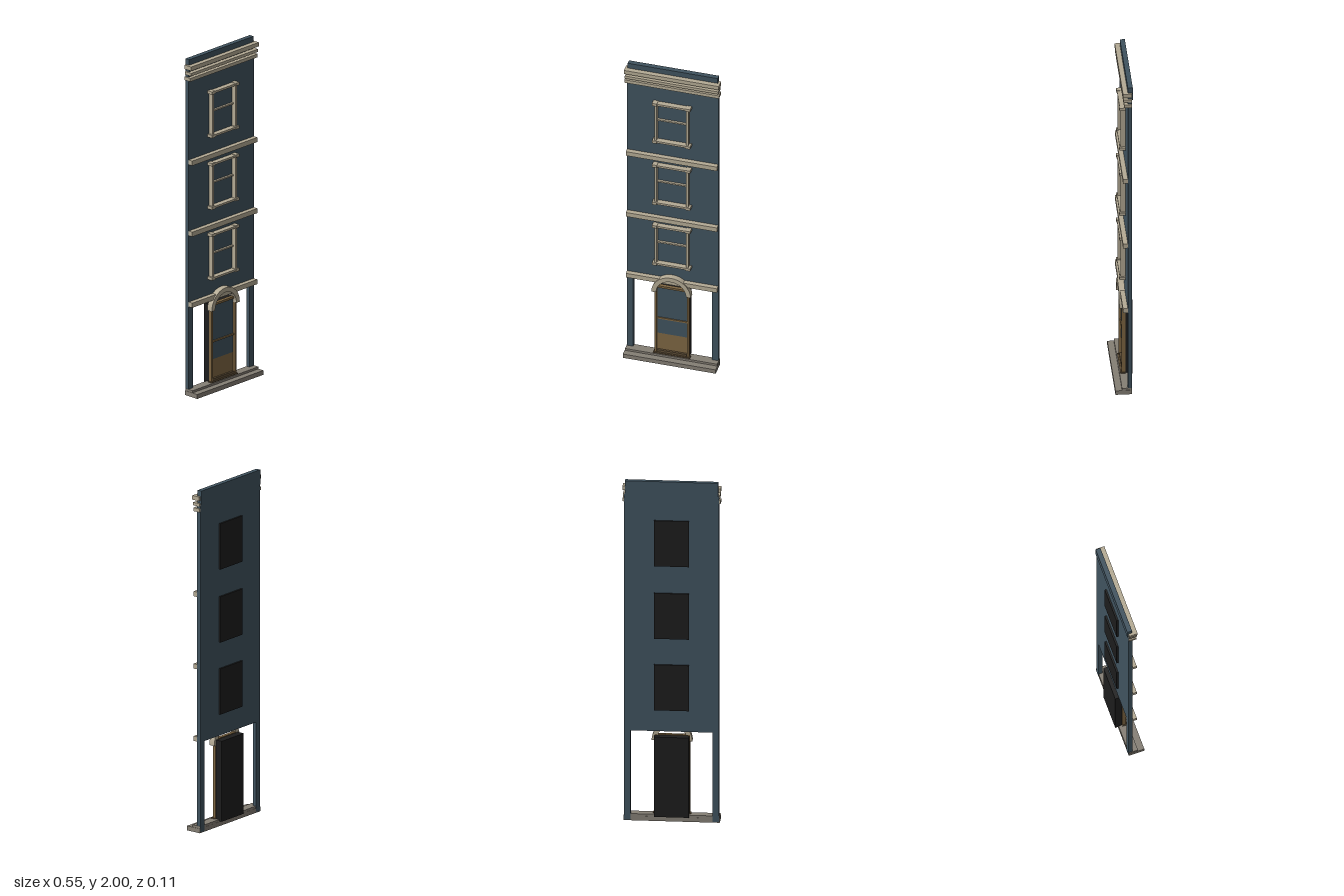
import * as THREE from 'three';

const mat = (name, color) => {
  const m = new THREE.MeshStandardMaterial({ color });
  m.name = name;
  return m;
};

export function createModel() {
  const wallBlue = mat('slate blue', 0x40535f);
  const trim = mat('beige trim', 0xb5ab95);
  const stone = mat('grey stone', 0x857f75);
  const wood = mat('brown wood', 0x7e6642);
  const darkWood = mat('dark wood', 0x5c4c35);
  const black = mat('black backing', 0x1d1d1d);

  const model = new THREE.Group();
  model.name = 'townhouseFacade';

  // Box given by its limits on each axis
  const box = (parent, name, m, x0, x1, y0, y1, z0, z1) => {
    const mesh = new THREE.Mesh(new THREE.BoxGeometry(x1 - x0, y1 - y0, z1 - z0), m);
    mesh.position.set((x0 + x1) / 2, (y0 + y1) / 2, (z0 + z1) / 2);
    mesh.name = name;
    parent.add(mesh);
    return mesh;
  };
  const wide = (parent, name, m, w, y0, y1, z0, z1) => box(parent, name, m, -w, w, y0, y1, z0, z1);
  const group = (name) => {
    const g = new THREE.Group();
    g.name = name;
    model.add(g);
    return g;
  };

  // Wall, with the ground floor open between two posts
  const front = -0.015, back = -0.038;
  const outline = new THREE.Shape();
  [[-0.266, 0.005], [-0.23, 0.005], [-0.23, 0.53], [0.23, 0.53], [0.23, 0.005],
    [0.266, 0.005], [0.266, 1.92], [-0.266, 1.92]]
    .forEach(([x, y], i) => (i ? outline.lineTo(x, y) : outline.moveTo(x, y)));
  const wall = new THREE.Mesh(
    new THREE.ExtrudeGeometry(outline, { depth: front - back, bevelEnabled: false }), wallBlue);
  wall.position.z = back;
  wall.name = 'wall';
  model.add(wall);
  wide(model, 'parapet', wallBlue, 0.262, 1.92, 2, -0.043, front);

  // Cornice bars
  const cornice = group('cornice');
  [[0.276, 1.943, 1.967, 0.013], [0.272, 1.91, 1.927, 0.01], [0.275, 1.877, 1.897, 0.006]]
    .forEach(([w, y0, y1, z]) => wide(cornice, 'corniceBar', trim, w, y0, y1, -0.037, z));

  // String courses between floors
  [[1.376, 1.404], [0.953, 0.981], [0.53, 0.558]]
    .forEach(([y0, y1]) => wide(model, 'stringCourse', trim, 0.265, y0, y1, front, 0.012));

  // Windows
  for (const y of [0.655, 1.076, 1.503]) {
    const win = group('window');
    wide(win, 'sill', trim, 0.1, y, y + 0.012, front, 0.016);
    wide(win, 'lintel', trim, 0.1, y + 0.258, y + 0.27, front, 0.016);
    wide(win, 'meetingRail', trim, 0.09, y + 0.143, y + 0.152, front, -0.002);
    for (const s of [-1, 1]) {
      const jamb = box(win, 'jamb', trim, 0.086, 0.099, y + 0.012, y + 0.258, front, 0.012);
      jamb.position.x *= s;
      for (const dy of [-0.003, 0.256]) {
        const block = box(win, 'cornerBlock', trim, 0.083, 0.111, y + dy, y + dy + 0.017, front, 0.019);
        block.position.x *= s;
      }
    }
    wide(win, 'backing', black, 0.098, y, y + 0.268, -0.048, back);
  }

  // Door
  const door = group('door');
  for (const s of [-1, 1]) {
    const jamb = box(door, 'doorJamb', wood, 0.088, 0.101, 0.04, 0.505, front, 0.006);
    jamb.position.x *= s;
  }
  wide(door, 'doorHead', wood, 0.088, 0.492, 0.505, front, 0.006);
  wide(door, 'doorLeaf', wood, 0.088, 0.04, 0.492, front, -0.009);
  wide(door, 'doorGlass', wallBlue, 0.086, 0.17, 0.49, -0.009, -0.006);
  wide(door, 'doorRail', wood, 0.088, 0.272, 0.282, -0.009, 0);
  wide(door, 'kickBoard', darkWood, 0.087, 0.04, 0.058, -0.009, 0.003);
  wide(door, 'threshold', darkWood, 0.107, 0.036, 0.044, front, 0.013);
  wide(door, 'backing', black, 0.098, 0.03, 0.5, -0.056, front);

  // Arch over the door
  const ring = new THREE.Shape();
  ring.absarc(0, 0, 0.114, 0, Math.PI, false);
  ring.absarc(0, 0, 0.087, Math.PI, 0, true);
  const arch = new THREE.Mesh(
    new THREE.ExtrudeGeometry(ring, { depth: 0.035, bevelEnabled: false, curveSegments: 16 }), trim);
  arch.position.set(0, 0.468, front);
  arch.name = 'doorArch';
  model.add(arch);

  // Stone base in two steps
  wide(model, 'baseStep', stone, 0.27, 0, 0.026, -0.037, 0.055);
  wide(model, 'upperStep', stone, 0.268, 0.026, 0.039, -0.036, 0.018);

  return model;
}
